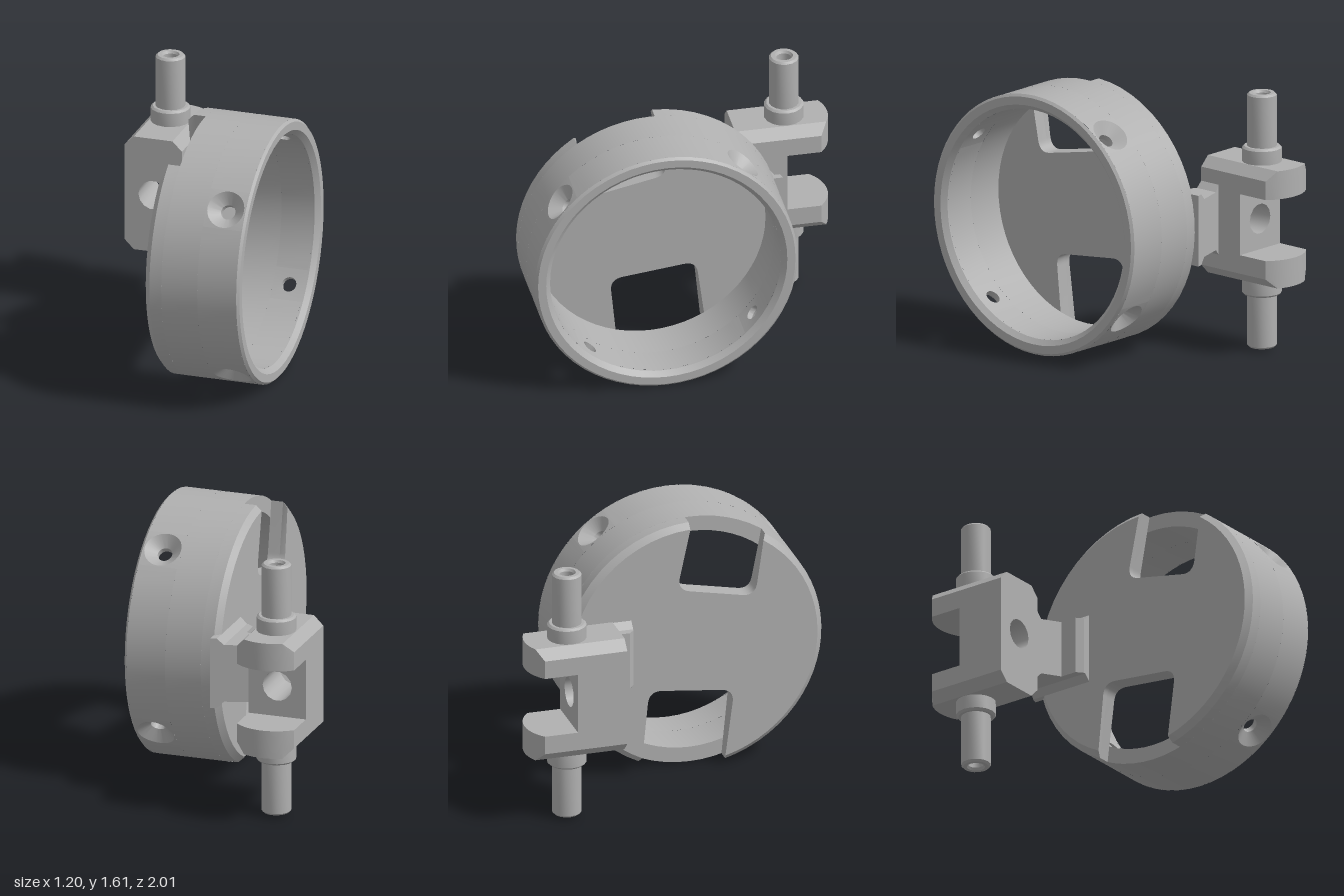
import * as THREE from 'three';
import { toCreasedNormals } from 'three/addons/utils/BufferGeometryUtils.js';
import { ParametricGeometry } from 'three/addons/geometries/ParametricGeometry.js';

const metal = new THREE.MeshStandardMaterial({ color: 0xb0b0b0 });
metal.name = 'machined grey';

const TAU = Math.PI * 2;
const lerp = THREE.MathUtils.lerp;
const rad = THREE.MathUtils.degToRad;

function add(parent, name, geometry, crease = 0.5) {
  const mesh = new THREE.Mesh(toCreasedNormals(geometry, crease), metal);
  mesh.name = name;
  parent.add(mesh);
  return mesh;
}

// ---- Cup, built along local z ----
const R_OUT = 0.805, R_IN = 0.71, FLOOR = 0.11, HOLE_Z = 0.46;
const HOLE_ANGLES = [0, 1, 2, 3].map(i => rad(141.5 + 90 * i));

const onCylinder = (target, R, a, z) => target.set(R * Math.cos(a), R * Math.sin(a), z);

// Cylindrical band, facing outward or inward
function band(R, a0, a1, z0, z1, out, n) {
  const [s, e] = out ? [z0, z1] : [z1, z0];
  return new ParametricGeometry((u, v, t) => onCylinder(t, R, lerp(a0, a1, u), lerp(s, e, v)), n, 1);
}

// Square patch of the wall, of half size h, around a round hole
function holePatch(R, a, r, h, out) {
  return new ParametricGeometry((u, v, t) => {
    const p = TAU * u * (out ? -1 : 1), c = Math.cos(p), s = Math.sin(p);
    const d = lerp(r, h / Math.max(Math.abs(c), Math.abs(s)), v);
    onCylinder(t, R, a + d * c / R, HOLE_Z + d * s);
  }, 32, 2);
}

// Side of a screw hole between two depths
function holeSide(a, R0, r0, R1, r1) {
  return new ParametricGeometry((u, v, t) => {
    const R = lerp(R0, R1, v), r = lerp(r0, r1, v), p = TAU * u;
    onCylinder(t, R, a + r * Math.cos(p) / R, HOLE_Z + r * Math.sin(p));
  }, 32, 1);
}

function wallSkin(cup, name, R, r, h, z1, out) {
  add(cup, name, band(R, 0, TAU, FLOOR, HOLE_Z - h, out, 64));
  add(cup, name, band(R, 0, TAU, HOLE_Z + h, z1, out, 64));
  for (const a of HOLE_ANGLES) {
    add(cup, name, holePatch(R, a, r, h, out));
    add(cup, name, band(R, a + h / R, a + Math.PI / 2 - h / R, HOLE_Z - h, HOLE_Z + h, out, 12));
  }
}

// Rounded corner at c on the way from a to b
function corner(shape, a, c, b, r = 0.08) {
  const toward = (p) => {
    const d = Math.hypot(p[0] - c[0], p[1] - c[1]);
    return [lerp(c[0], p[0], r / d), lerp(c[1], p[1], r / d)];
  };
  shape.lineTo(...toward(a));
  shape.quadraticCurveTo(...c, ...toward(b));
}

// Disc with two windows that break through the edge
function floorShape() {
  const s = new THREE.Shape();
  const w1 = [[0.03, 0.805], [0.11, 0.38], [-0.375, 0.28], [-0.45, 0.667]];
  const w2 = [[-0.2, -0.78], [-0.245, -0.32], [0.285, -0.26], [0.345, -0.727]];
  s.absarc(0, 0, R_OUT, rad(-64.6), rad(87.9), false);
  corner(s, w1[0], w1[1], w1[2]);
  corner(s, w1[1], w1[2], w1[3]);
  s.absarc(0, 0, R_OUT, rad(124), rad(255.6), false);
  corner(s, w2[0], w2[1], w2[2]);
  corner(s, w2[1], w2[2], w2[3]);
  s.closePath();
  return s;
}

function buildCup() {
  const cup = new THREE.Group();
  cup.name = 'cup';
  const CH = 0.035;

  // Floor, with its outer edge chamfered
  const slab = (depth) => new THREE.ExtrudeGeometry(floorShape(), { depth, bevelEnabled: false, curveSegments: 12 });
  add(cup, 'floor', slab(FLOOR - CH).translate(0, 0, CH));
  const edge = slab(CH), p = edge.attributes.position;
  for (let i = 0; i < p.count; i++) {
    const r = Math.hypot(p.getX(i), p.getY(i));
    if (p.getZ(i) < 0.001 && r > 0.77) p.setXY(i, p.getX(i) * 0.77 / r, p.getY(i) * 0.77 / r);
  }
  add(cup, 'floorChamfer', edge);

  // Wall and rim
  wallSkin(cup, 'outerWall', R_OUT, 0.115, 0.122, 0.585, true);
  wallSkin(cup, 'innerWall', R_IN, 0.045, 0.1, 0.57, false);
  add(cup, 'wallStep', new THREE.RingGeometry(R_IN, R_OUT, 64).rotateX(Math.PI).translate(0, 0, FLOOR));
  const rim = [[R_OUT, 0.585], [0.79, 0.6], [0.74, 0.6], [R_IN, 0.57]].map(q => new THREE.Vector2(...q));
  add(cup, 'rim', new THREE.LatheGeometry(rim, 64).rotateX(Math.PI / 2));

  // Countersunk screw holes
  for (const a of HOLE_ANGLES) {
    add(cup, 'countersink', holeSide(a, R_OUT, 0.115, 0.745, 0.045));
    add(cup, 'screwHole', holeSide(a, 0.745, 0.045, R_IN, 0.045));
  }
  cup.rotation.y = Math.PI / 2;
  cup.position.set(0, 0.81, 0.2);
  return cup;
}

// ---- Clevis with two arms and hollow pins ----
const HALF_W = 0.1825, CUT = 0.06, PIN_Z = -0.735;

function armGeometry() {
  const arc = (x) => -PIN_Z + Math.sqrt(0.265 ** 2 - x * x);
  const s = new THREE.Shape();
  s.moveTo(-HALF_W, 0.72);
  s.lineTo(HALF_W, 0.72);
  for (let i = 0; i <= 12; i++) {
    const x = lerp(HALF_W, -HALF_W, i / 12);
    s.lineTo(x, arc(x));
  }
  const g = new THREE.ExtrudeGeometry(s, { depth: 2, steps: 2, bevelEnabled: false });
  const p = g.attributes.position, lim = HALF_W - CUT;
  for (let i = 0; i < p.count; i++) {
    const level = Math.round(p.getZ(i)), x = p.getX(i);
    // The outer level is narrowed to form the chamfers
    if (level === 2 && Math.abs(x) > lim) {
      p.setX(i, Math.sign(x) * lim);
      if (p.getY(i) > 0.721) p.setY(i, arc(lim));
    }
    p.setZ(i, [0.19, 0.305, 0.365][level]);
  }
  return g.rotateX(-Math.PI / 2);
}

function buildClevis() {
  const clevis = new THREE.Group();
  clevis.name = 'clevis';
  clevis.position.set(-0.42, 0.81, 0);

  // Web plate with a through hole
  const w = HALF_W, h = 0.365, c = CUT;
  const s = new THREE.Shape([[-w, c - h], [c - w, -h], [w - c, -h], [w, c - h],
    [w, h - c], [w - c, h], [c - w, h], [-w, h - c]].map(q => new THREE.Vector2(...q)));
  s.holes.push(new THREE.Path().absarc(0, 0, 0.093, 0, TAU, true));
  add(clevis, 'web', new THREE.ExtrudeGeometry(s, { depth: 0.31, bevelEnabled: false, curveSegments: 7 })
    .translate(0, 0, -0.72));

  // Arm and pin, repeated upside down
  const pin = [[0.12, 0.36], [0.12, 0.45], [0.107, 0.462], [0.09, 0.462], [0.09, 0.778], [0.078, 0.79],
    [0.055, 0.79], [0.045, 0.775], [0.045, 0.64], [0, 0.64]].map(q => new THREE.Vector2(...q));
  for (const side of ['upper', 'lower']) {
    const half = new THREE.Group();
    half.name = side + 'Half';
    add(half, side + 'Arm', armGeometry());
    add(half, side + 'Pin', new THREE.LatheGeometry(pin, 16)).position.z = PIN_Z;
    if (side === 'lower') half.rotation.z = Math.PI;
    clevis.add(half);
  }
  return clevis;
}

// ---- Neck: rectangular sections along x, flared at both ends ----
function neckGeometry() {
  // x, front z, half height
  const stations = [[-0.24, -0.41, 0.22], [-0.2, -0.41, 0.18], [-0.09, -0.34, 0.18], [-0.09, -0.235, 0.18],
    [-0.05, -0.2, 0.18], [-0.04, -0.2, 0.18], [0, -0.2, 0.22], [0.04, -0.2, 0.22]];
  const pos = [], idx = [];
  for (const [x, zf, h] of stations) {
    const zb = -0.622 - 0.304 * x;
    pos.push(x, 0.81 - h, zf, x, 0.81 + h, zf, x, 0.81 + h, zb, x, 0.81 - h, zb);
  }
  for (let i = 0; i < stations.length - 1; i++) {
    for (let j = 0; j < 4; j++) {
      const a = i * 4 + j, b = i * 4 + (j + 1) % 4;
      idx.push(a, a + 4, b + 4, a, b + 4, b);
    }
  }
  const e = (stations.length - 1) * 4;
  idx.push(0, 1, 2, 0, 2, 3, e, e + 2, e + 1, e, e + 3, e + 2);
  const g = new THREE.BufferGeometry();
  g.setAttribute('position', new THREE.Float32BufferAttribute(pos, 3));
  g.setIndex(idx);
  return g;
}

export function createModel() {
  const model = new THREE.Group();
  model.name = 'cupBracket';
  model.add(buildCup(), buildClevis());
  add(model, 'neck', neckGeometry(), 0.1);
  return model;
}
